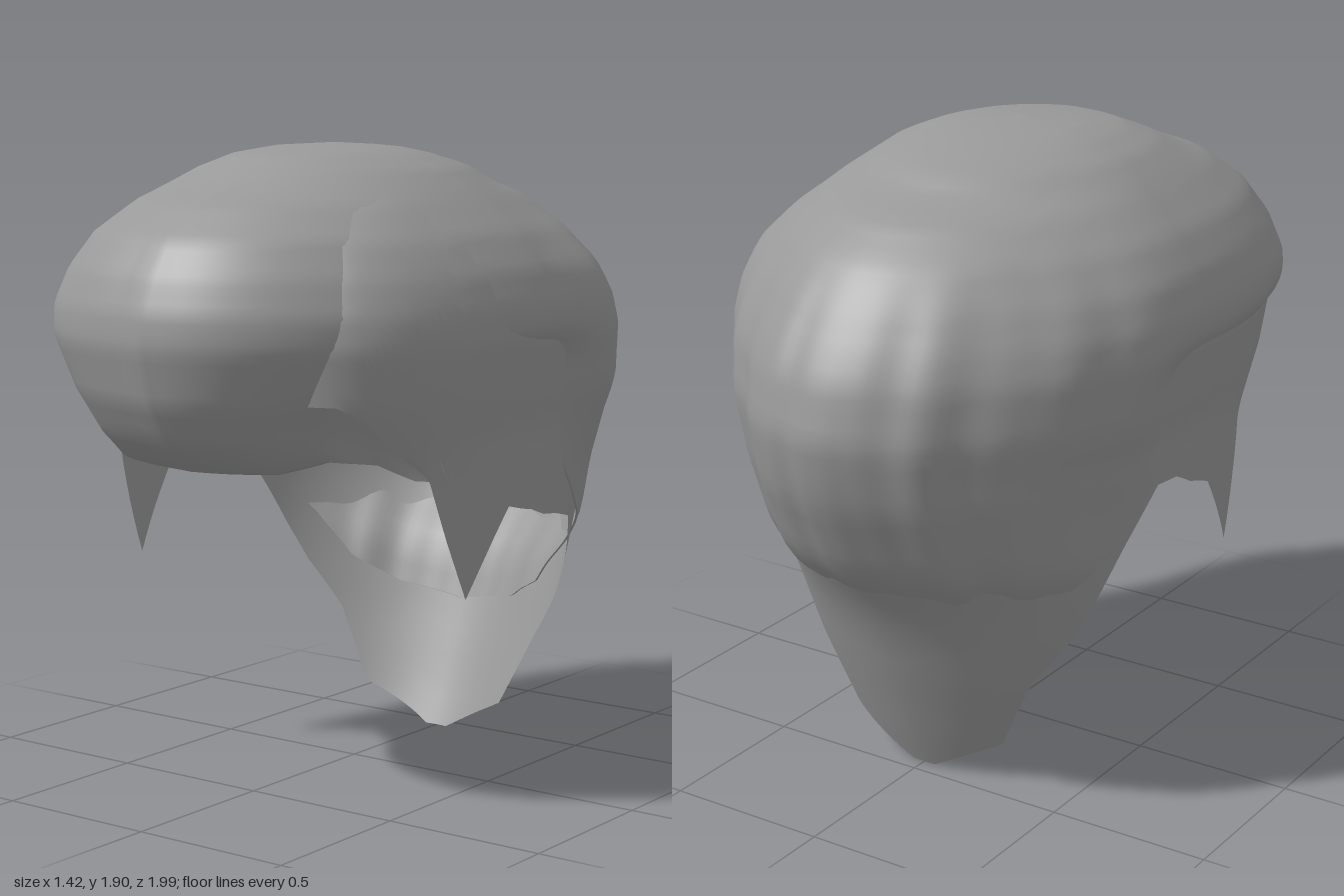
import * as THREE from 'three';

const { smoothstep, lerp, clamp, degToRad } = THREE.MathUtils;
const hairGrey = new THREE.MeshStandardMaterial({ color: 0x999999, side: THREE.DoubleSide });
hairGrey.name = 'hairGrey';

// Outline per height: y, front z, back z, half width, centre z
const RINGS = [
  [1.9, 0.1, 0.1, 0, 0.1], [1.89, 0.25, -0.08, 0.18, 0.08], [1.87, 0.4, -0.2, 0.27, 0.08],
  [1.83, 0.5, -0.36, 0.37, 0.06], [1.78, 0.62, -0.45, 0.44, 0.04], [1.74, 0.74, -0.6, 0.49, 0.02],
  [1.65, 0.88, -0.74, 0.59, 0], [1.55, 0.95, -0.83, 0.66, 0], [1.45, 0.99, -0.9, 0.7, 0],
  [1.36, 1.0, -0.95, 0.71, 0], [1.2, 0.96, -0.99, 0.69, 0], [1.08, 0.89, -0.97, 0.67, 0],
  [1.0, 0.79, -0.95, 0.67, 0], [0.8, 0.8, -0.86, 0.66, 0], [0.62, 0.8, -0.74, 0.655, 0],
  [0.5, 0.8, -0.68, 0.64, 0], [0.35, 0.8, -0.62, 0.6, 0], [0.12, 0.8, -0.52, 0.51, 0],
  [0, 0.8, -0.46, 0.46, 0],
];

// Hem height per angle from the front in degrees: left side, right side
const SCALP_HEM = [[0, 1.2, 1.2], [38, 1.2, 1.2], [46, 1.16, 1.16], [52, 1.07, 1.07], [60, 0.97, 0.97],
  [72, 0.62, 0.62], [84, 0.87, 0.87], [96, 0.82, 0.95], [102, 0.81, 0.95], [112, 0.78, 0.78],
  [128, 0.5, 0.5], [138, 0.35, 0.35], [146, 0.12, 0.12], [158, 0.07, 0.07], [174, 0, 0], [180, 0, 0]];
const HAIR_HEM = [[0, 1, 1], [30, 1, 1], [46, 1.03, 1.03], [58, 1.0, 1.0], [66, 0.95, 0.95],
  [76, 0.94, 0.94], [84, 0.97, 0.97], [102, 0.98, 0.98], [112, 0.82, 0.82],
  [128, 0.66, 0.66], [140, 0.52, 0.52], [155, 0.44, 0.44], [180, 0.4, 0.4]];

// Linear lookup in rows keyed by their first entry
function lookup(rows, key, col) {
  const dir = Math.sign(rows[1][0] - rows[0][0]);
  let i = 0;
  while (i < rows.length - 2 && (key - rows[i + 1][0]) * dir > 0) i++;
  const t = clamp((key - rows[i][0]) / (rows[i + 1][0] - rows[i][0]), 0, 1);
  return lerp(rows[i][col], rows[i + 1][col], t);
}

// Superellipse outline: rounder in front, tapered at the back
function outlinePoint(deg, y, fronting) {
  const a = degToRad(deg);
  const s = Math.sin(a), c = Math.cos(a);
  const power = 2 / (c > 0 ? fronting : 1.85);
  const [zf, zb, w, cz] = [1, 2, 3, 4].map((k) => lookup(RINGS, y, k));
  return {
    s, cz, front: Math.max(0, c),
    x: w * Math.sign(s) * Math.abs(s) ** power,
    z: (c > 0 ? zf - cz : cz - zb) * Math.sign(c) * Math.abs(c) ** power,
  };
}

// Under layer: drawn in from the outer hair, most of all at the forehead
function scalpPoint(deg, y, t) {
  const p = outlinePoint(deg, y, 2.4);
  const z = p.z * (1 - 0.22 * p.front ** 3);
  return [p.x * 0.975, y - 0.02 * (1 - t), p.cz + z * 0.975];
}

// Outer layer: lopsided quiff, fuller behind the ears, combed at the back,
// tucked under the sideburns and the nape
function hairPoint(deg, y, t) {
  const left = deg < 180;
  const p = outlinePoint(deg, y, left ? 2.2 : 2.8);
  const fold = Math.min(deg, 360 - deg);
  const narrow = smoothstep(1.45 - y, 0, 0.45) * smoothstep(p.front, 0.1, 0.6);
  const fuller = smoothstep(fold, 92, 116) * (1 - smoothstep(fold, 120, 148)) * smoothstep(y, 0.9, 1.2)
    * (1 - smoothstep(y, 1.5, 1.75));
  const side = smoothstep(fold, 44, 60) * (1 - smoothstep(fold, 92, 112));
  let k = 1 - 0.09 * smoothstep(0.76 - y, 0, 0.22);
  k *= 1 - 0.07 * side * smoothstep(1.4 - y, 0, 0.14);
  k *= 1 + 0.008 * smoothstep(fold, 100, 135) * smoothstep(t, 0.3, 0.6)
    * (Math.sin(deg * 0.275 + 2 * t) + 0.6 * Math.sin(deg * 0.465 - t)) * (1 - smoothstep(fold, 165, 180));
  const x = p.x * (1 - (left ? 0.12 * p.front : 0)) * (1 - (left ? 0.25 : 0.18) * narrow)
    * (1 + (left ? 0.09 : 0.04) * fuller);
  const z = p.z * (1 - (p.front > 0 ? (left ? 0.03 : 0.07) * Math.sqrt(Math.abs(p.s)) : 0));
  return [x * k, y, p.cz + z * k];
}

// Shell from crown to hem; extra rows may curl under at the front
function shell(name, hem, pointAt, lipRows) {
  const cols = 180, rows = 44, total = rows + lipRows + 1;
  const pos = [], index = [];
  for (let i = 0; i < cols; i++) {
    const deg = i * 2, fold = Math.min(deg, 360 - deg);
    const low = lookup(hem, fold, deg < 180 ? 1 : 2);
    for (let j = 0; j <= rows; j++) {
      const t = j / rows;
      pos.push(...pointAt(deg, 1.9 - (1.9 - low) * t ** 1.7, t));
    }
    // Underside of the quiff
    const front = 1 - smoothstep(fold, 35, 62);
    const edge = pointAt(deg, low, 1);
    for (let j = 1; j <= lipRows; j++) {
      const t = j / lipRows, k = 1 - t * (0.01 + 0.1 * front);
      pos.push(edge[0] * k, low + front * (0.11 * t * t - 0.02 * Math.sin(Math.PI * t)), edge[2] * k);
    }
    for (let j = 0; j < total - 1; j++) {
      const a = i * total + j, b = ((i + 1) % cols) * total + j;
      index.push(a, a + 1, b + 1, a, b + 1, b);
    }
  }
  const geo = new THREE.BufferGeometry();
  geo.setAttribute('position', new THREE.Float32BufferAttribute(pos, 3));
  geo.setIndex(index);
  geo.computeVertexNormals();
  const mesh = new THREE.Mesh(geo, hairGrey);
  mesh.name = name;
  return mesh;
}

export function createModel() {
  const group = new THREE.Group();
  group.name = 'hair';
  // Under layer with the sideburns and the pointed nape
  group.add(shell('scalpLayer', SCALP_HEM, scalpPoint, 0));
  // Full outer layer with the rolled quiff
  group.add(shell('outerHair', HAIR_HEM, hairPoint, 4));
  return group;
}
